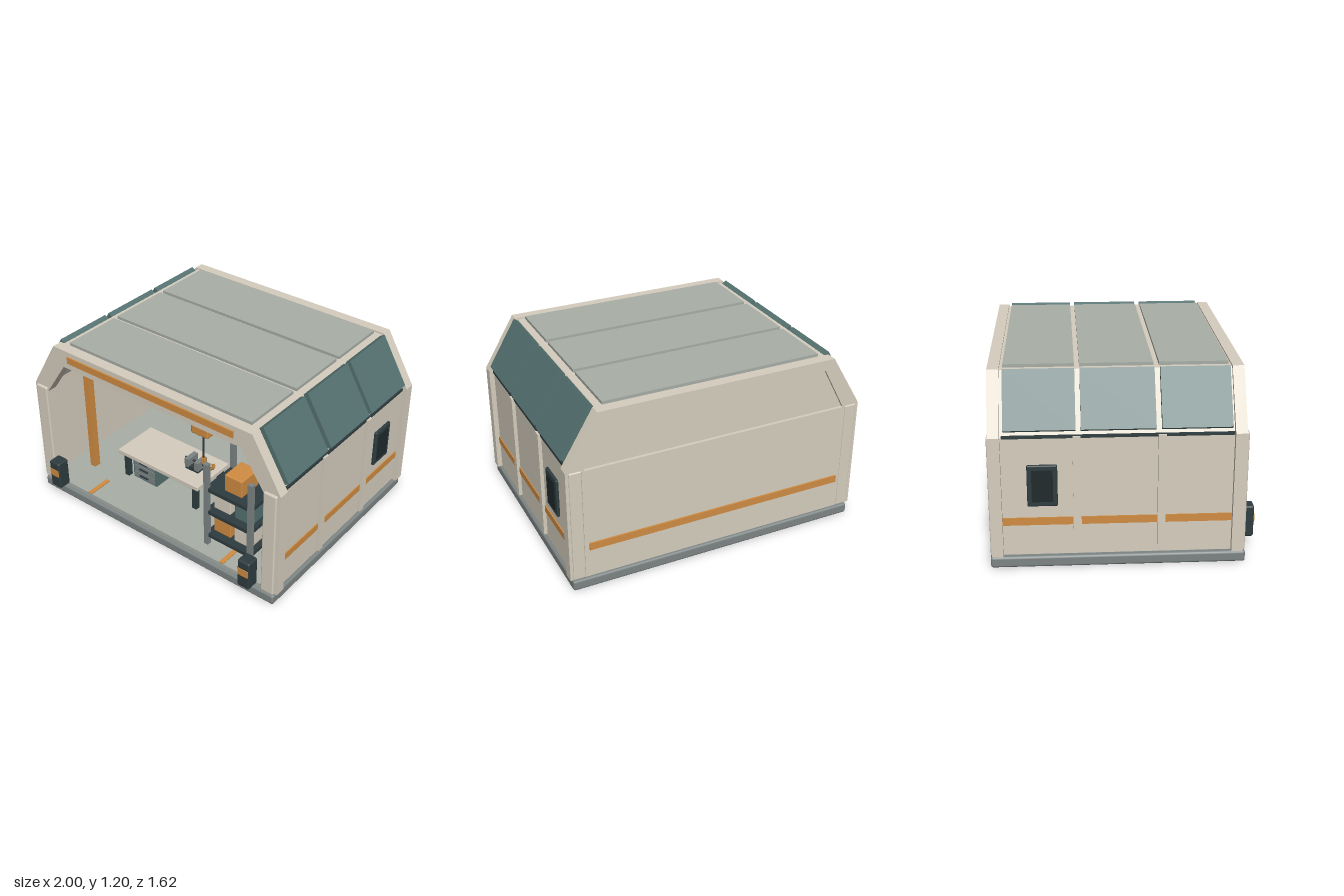
import * as THREE from 'three';
import { RoundedBoxGeometry } from 'three/addons/geometries/RoundedBoxGeometry.js';

const paint = (name, color) => {
  const m = new THREE.MeshStandardMaterial({ color });
  m.name = name;
  return m;
};

export function createModel() {
  const model = new THREE.Group();
  model.name = 'workshopBay';
  const cream = paint('cream', 0xd6cebf), orange = paint('orange', 0xd08d42), teal = paint('teal', 0x557270);
  const dark = paint('darkSlate', 0x2f3d40), grey = paint('grey', 0x7d8584), pale = paint('paleGrey', 0xa9aea7);
  const black = paint('nearBlack', 0x20292b);

  const add = (name, geo, mat, parent = model) => {
    const m = new THREE.Mesh(geo, mat);
    m.name = name;
    parent.add(m);
    return m;
  };
  const group = (name) => {
    const g = new THREE.Group();
    g.name = name;
    model.add(g);
    return g;
  };
  // Box given by its limits on each axis; r rounds its edges
  const box = (name, mat, [x0, x1], [y0, y1], [z0, z1], parent = model, r = 0) => {
    const s = [x1 - x0, y1 - y0, z1 - z0];
    const m = add(name, r ? new RoundedBoxGeometry(...s, 2, r) : new THREE.BoxGeometry(...s), mat, parent);
    m.position.set((x0 + x1) / 2, (y0 + y1) / 2, (z0 + z1) / 2);
    return m;
  };
  // Same box on both sides of x = 0
  const pair = (name, mat, [x0, x1], y, z, parent = model, r = 0) => {
    box(name + 'Left', mat, [x0, x1], y, z, parent, r);
    box(name + 'Right', mat, [-x1, -x0], y, z, parent, r);
  };
  // Prism along z from an outline
  const prism = (name, mat, pts, z0, z1, parent = model) => {
    const shape = new THREE.Shape(pts.map(([x, y]) => new THREE.Vector2(x, y)));
    const m = add(name, new THREE.ExtrudeGeometry(shape, { depth: z1 - z0, bevelEnabled: false }), mat, parent);
    m.position.z = z0;
    return m;
  };
  const mirrored = (half) => [...half, ...half.slice().reverse().map(([x, y]) => [-x, y])];
  const arch = (outer, inner) => [...mirrored(outer), ...mirrored(inner).reverse()];

  // Base and floor
  box('basePlatform', grey, [-0.985, 0.985], [0, 0.07], [-0.81, 0.73], model, 0.015);
  box('floor', pale, [-0.95, 0.95], [0.06, 0.1], [-0.77, 0.71]);
  for (const x of [-0.57, 0.57]) box('floorMark', orange, [x - 0.016, x + 0.016], [0.1, 0.106], [0.53, 0.71]);

  // Shell and end frames
  const outer = [[1, 0.08], [1, 0.84], [0.79, 1.19]];
  const inner = [[0.885, 0.08], [0.885, 0.81], [0.71, 1.065]];
  prism('shell', cream, arch([[0.967, 0.08], [0.967, 0.83], [0.772, 1.18]],
    [[0.935, 0.08], [0.935, 0.82], [0.755, 1.145]]), -0.74, 0.65);
  prism('frontFrame', cream, arch(outer, inner), 0.64, 0.71);
  prism('rearFrame', cream, arch(outer, [[0.885, 0.08], [0.885, 0.83], [0.73, 1.12]]), -0.8, -0.73);
  prism('rearUpperPanel', cream, mirrored([[0.91, 0.08], [0.91, 0.83], [0.74, 1.14]]), -0.782, -0.75);
  box('rearLowerWall', cream, [-0.9, 0.9], [0.08, 0.83], [-0.802, -0.75]);
  pair('frontPillar', cream, [0.885, 0.98], [0.075, 0.84], [0.68, 0.726], model, 0.01);
  pair('rearPillar', cream, [0.9, 0.98], [0.08, 0.835], [-0.808, -0.76], model, 0.008);
  box('headerStripe', orange, [-0.665, 0.66], [1.11, 1.157], [0.705, 0.719]);
  box('rearStripe', orange, [-0.875, 0.87], [0.275, 0.323], [-0.813, -0.8]);

  // Roof panels: flat on top, tilted on each slope
  const slope = Math.atan2(0.315, 0.188);
  for (const [z0, z1] of [[-0.71, -0.29], [-0.26, 0.178], [0.212, 0.625]]) {
    box('roofPanel', pale, [-0.725, 0.725], [1.17, 1.2], [z0, z1]);
    for (const s of [-1, 1]) {
      const p = box('slopeWindow', teal, [-0.183, 0.183], [-0.018, 0.018], [z0, z1]);
      p.position.set(s * 0.884, 1.03, (z0 + z1) / 2);
      p.rotation.z = -s * slope;
    }
  }

  // Side walls: ribs, eave, stripes and windows
  pair('eave', dark, [0.94, 0.975], [0.825, 0.842], [-0.72, 0.64]);
  for (const z of [0.215, -0.285]) pair('wallRib', cream, [0.95, 0.99], [0.1, 0.838], [z - 0.024, z + 0.024]);
  for (const z of [[-0.73, -0.309], [-0.261, 0.191], [0.239, 0.64]]) {
    pair('sideStripe', orange, [0.965, 0.974], [0.275, 0.323], z);
  }
  pair('sideWindowFrame', dark, [0.955, 0.985], [0.4, 0.66], [-0.58, -0.4], model, 0.008);
  pair('sideWindowPane', black, [0.98, 0.988], [0.43, 0.63], [-0.553, -0.427]);

  // Entrance bollards
  pair('bollard', dark, [0.762, 0.852], [0.1, 0.305], [0.71, 0.8], model, 0.012);
  pair('bollardBand', orange, [0.77, 0.844], [0.195, 0.247], [0.795, 0.804]);

  // Gantry with trolley, cable and hook
  const gantry = group('gantry');
  pair('gantryColumn', orange, [0.752, 0.797], [0.1, 0.88], [0.42, 0.47], gantry);
  box('gantryBeam', orange, [-0.797, 0.79], [0.865, 0.937], [0.415, 0.475], gantry);
  box('gantryRail', dark, [-0.752, 0.752], [0.845, 0.866], [0.425, 0.465], gantry);
  box('trolley', orange, [0.163, 0.3], [0.815, 0.912], [0.41, 0.5], gantry, 0.012);
  const cable = add('cable', new THREE.CylinderGeometry(0.006, 0.006, 0.21, 8), dark, gantry);
  cable.position.set(0.23, 0.715, 0.455);
  const hookPath = new THREE.CatmullRomCurve3([[0.23, 0.62], [0.23, 0.585], [0.267, 0.553], [0.308, 0.58], [0.308, 0.615]]
    .map(([x, y]) => new THREE.Vector3(x, y, 0.455)));
  add('hook', new THREE.TubeGeometry(hookPath, 14, 0.011, 8), orange, gantry);
  box('hookBlock', orange, [0.217, 0.243], [0.585, 0.625], [0.442, 0.468], gantry);

  // Workbench with drawers
  const bench = group('workbench');
  box('benchTop', cream, [-0.56, 0.145], [0.28, 0.316], [0.08, 0.42], bench, 0.006);
  for (const x of [-0.51, 0.097]) for (const z of [0.115, 0.38]) {
    box('benchLeg', dark, [x - 0.018, x + 0.018], [0.1, 0.282], [z - 0.018, z + 0.018], bench);
  }
  box('drawerCabinet', teal, [-0.465, -0.255], [0.1, 0.28], [0.12, 0.375], bench);
  for (let i = 0; i < 3; i++) {
    const y = 0.113 + i * 0.056;
    box('drawerFront', grey, [-0.45, -0.27], [y, y + 0.045], [0.373, 0.382], bench);
    box('drawerHandle', dark, [-0.4, -0.325], [y + 0.02, y + 0.03], [0.38, 0.392], bench);
  }

  // Vise
  const vise = group('vise');
  box('viseBase', dark, [-0.055, 0.052], [0.315, 0.345], [0.21, 0.3], vise);
  for (const x of [-0.04, 0.04]) box('viseJaw', grey, [x - 0.017, x + 0.017], [0.335, 0.4], [0.205, 0.305], vise);
  const screw = add('viseScrew', new THREE.CylinderGeometry(0.008, 0.008, 0.19, 10), dark, vise);
  screw.rotation.z = Math.PI / 2;
  screw.position.set(0.004, 0.368, 0.255);

  // Shelving with stored crates
  const rack = group('shelving');
  for (const x of [0.38, 0.72]) for (const z of [0.34, 0.61]) {
    box('shelfPost', grey, [x - 0.016, x + 0.016], [0.1, 0.737], [z - 0.016, z + 0.016], rack);
  }
  for (const y of [0.165, 0.352, 0.53]) box('shelfBoard', dark, [0.37, 0.73], [y, y + 0.026], [0.33, 0.62], rack);
  const crate = (mat, x, y) => box('crate', mat, x, y, [0.4, 0.57], rack, 0.006);
  crate(orange, [0.487, 0.62], [0.556, 0.68]);
  crate(cream, [0.403, 0.533], [0.378, 0.498]);
  crate(teal, [0.568, 0.7], [0.378, 0.498]);
  crate(orange, [0.403, 0.537], [0.191, 0.312]);
  crate(cream, [0.565, 0.695], [0.191, 0.312]);

  // Storage cabinet towards the back
  const cabinet = group('storageCabinet');
  box('cabinetBody', teal, [0.39, 0.71], [0.1, 0.5], [-0.6, -0.3], cabinet);
  box('cabinetSeam', grey, [0.54, 0.56], [0.12, 0.49], [-0.302, -0.295], cabinet);
  box('cabinetHandle', orange, [0.52, 0.575], [0.32, 0.337], [-0.302, -0.28], cabinet);

  return model;
}
